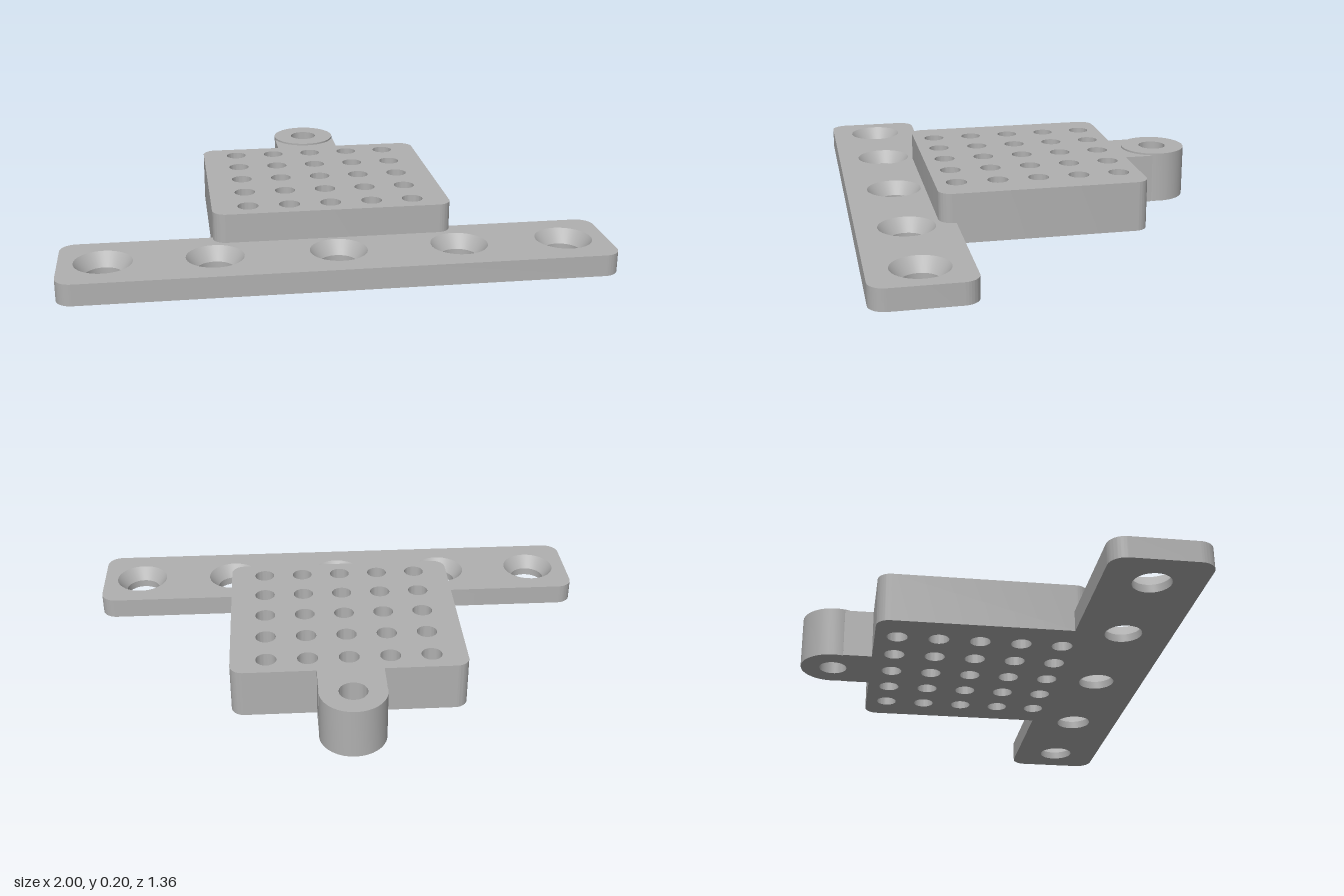
import * as THREE from 'three';
import { toCreasedNormals } from 'three/addons/utils/BufferGeometryUtils.js';

const PI = Math.PI;

// Shapes are drawn in plan with (x, -z) and extruded upwards from y = 0.
function plate(shape, height) {
  const g = new THREE.ExtrudeGeometry(shape, { depth: height, bevelEnabled: false, curveSegments: 18 });
  g.rotateX(-PI / 2);
  return toCreasedNormals(g, 0.5);
}

function drill(shape, x, z, radius) {
  const hole = new THREE.Path();
  hole.absarc(x, -z, radius, 0, PI * 2, true);
  shape.holes.push(hole);
}

export function createModel() {
  const model = new THREE.Group();
  const grey = new THREE.MeshStandardMaterial({ color: 0xb0b0b0 });
  grey.name = 'grey';
  const add = (name, geometry) => {
    const mesh = new THREE.Mesh(geometry, grey);
    mesh.name = name;
    model.add(mesh);
    return mesh;
  };

  // Block dimensions, shared with the notch in the bar
  const bw = 0.445, bFront = 0.375, bBack = -0.41, br = 0.05, bh = 0.19;

  // Mounting bar, notched at the back to receive the block
  const front = -0.68, back = -0.315, r = 0.06, barH = 0.08;
  const screwX = [-0.84, -0.445, 0, 0.445, 0.84], screwZ = 0.495;
  const bar = new THREE.Shape();
  bar.moveTo(-1 + r, front);
  bar.absarc(1 - r, front + r, r, -PI / 2, 0, false);
  bar.absarc(1 - r, back - r, r, 0, PI / 2, false);
  bar.lineTo(bw, back);
  bar.absarc(bw - br, -bFront + br, br, 0, -PI / 2, true);
  bar.absarc(-bw + br, -bFront + br, br, -PI / 2, -PI, true);
  bar.lineTo(-bw, back);
  bar.absarc(-1 + r, back - r, r, PI / 2, PI, false);
  bar.absarc(-1 + r, front + r, r, PI, PI * 1.5, false);
  screwX.forEach((x) => drill(bar, x, screwZ, 0.105));
  add('mountingBar', plate(bar, barH));

  // Countersunk walls of the screw holes
  const sinkProfile = [[0.105, barH], [0.069, 0.03], [0.069, 0], [0.105, 0]]
    .map(([x, y]) => new THREE.Vector2(x, y));
  const sink = toCreasedNormals(new THREE.LatheGeometry(sinkProfile, 36), 0.5);
  screwX.forEach((x) => add('countersink', sink).position.set(x, 0, screwZ));

  // Perforated block
  const block = new THREE.Shape();
  block.absarc(bw - br, -bFront + br, br, -PI / 2, 0, false);
  block.absarc(bw - br, -bBack - br, br, 0, PI / 2, false);
  block.absarc(-bw + br, -bBack - br, br, PI / 2, PI, false);
  block.absarc(-bw + br, -bFront + br, br, PI, PI * 1.5, false);
  block.closePath();
  for (let i = -2; i <= 2; i++) {
    for (let j = -2; j <= 2; j++) drill(block, i * 0.155, -0.017 + j * 0.155, 0.039);
  }
  add('perforatedBlock', plate(block, bh));

  // Neck joining the block to the ring, hollowed to clear the ring's bore
  const ringZ = -0.556, ringR = 0.125, clear = 0.09;
  const neckEnd = 0.52;
  const a = Math.asin((neckEnd + ringZ) / clear);
  const neck = new THREE.Shape();
  neck.moveTo(-ringR, -bBack);
  neck.lineTo(ringR, -bBack);
  neck.lineTo(ringR, neckEnd);
  neck.absarc(0, -ringZ, clear, a, -PI - a, true);
  neck.lineTo(-ringR, neckEnd);
  neck.closePath();
  add('neck', plate(neck, bh));

  // Ring at the back
  const ring = new THREE.Shape();
  ring.absarc(0, -ringZ, ringR, 0, PI * 2, false);
  drill(ring, 0, ringZ, 0.053);
  add('ring', plate(ring, 0.197));

  return model;
}
